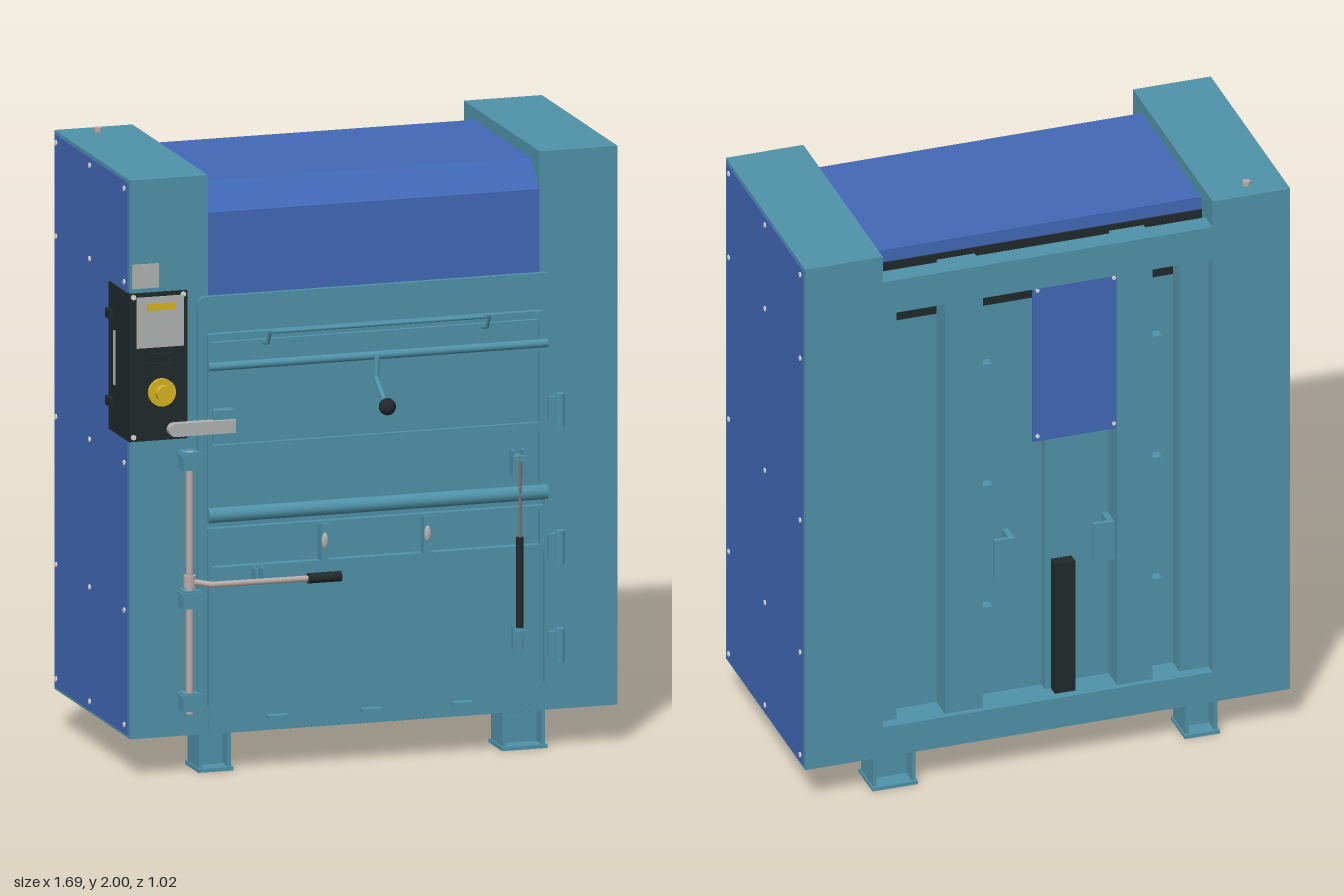
import * as THREE from 'three';

const paint = (name, color) => {
  const m = new THREE.MeshStandardMaterial({ color });
  m.name = name;
  return m;
};

export function createModel() {
  const root = new THREE.Group();
  root.name = 'balingPress';
  const teal = paint('teal', 0x4f92a8), blue = paint('blue', 0x4268b6), black = paint('black', 0x20292b);
  const grey = paint('grey', 0xb0b2b2), steel = paint('steel', 0xb9aaa6), yellow = paint('yellow', 0xd6b322);
  const white = paint('white', 0xdcdcdc), brown = paint('brown', 0x80706e);

  const add = (name, geo, mat) => {
    const m = new THREE.Mesh(geo, mat);
    m.name = name;
    root.add(m);
    return m;
  };
  // Box given by its limits on each axis
  const box = (name, mat, x0, x1, y0, y1, z0, z1) =>
    add(name, new THREE.BoxGeometry(x1 - x0, y1 - y0, z1 - z0)
      .translate((x0 + x1) / 2, (y0 + y1) / 2, (z0 + z1) / 2), mat);
  // Round bar between two points
  const rod = (name, mat, a, b, r, sides = 16) => {
    const p = new THREE.Vector3(...a), q = new THREE.Vector3(...b), d = q.clone().sub(p);
    const m = add(name, new THREE.CylinderGeometry(r, r, d.length(), sides), mat);
    m.position.copy(p).add(q).multiplyScalar(0.5);
    m.quaternion.setFromUnitVectors(new THREE.Vector3(0, 1, 0), d.normalize());
    return m;
  };
  const bentRod = (name, mat, pts, r) => {
    const path = new THREE.CurvePath();
    const v = pts.map(p => new THREE.Vector3(...p));
    for (let i = 1; i < v.length; i++) path.add(new THREE.LineCurve3(v[i - 1], v[i]));
    return add(name, new THREE.TubeGeometry(path, 40, r, 10), mat);
  };
  // Rectangular frame standing on the front
  const rim = (name, x0, x1, y0, y1, t, z0, z1) => {
    box(name, teal, x0, x1, y0, y0 + t, z0, z1);
    box(name, teal, x0, x1, y1 - t, y1, z0, z1);
    box(name, teal, x0, x0 + t, y0 + t, y1 - t, z0, z1);
    box(name, teal, x1 - t, x1, y0 + t, y1 - t, z0, z1);
  };

  // Side columns, blue side panels and their screws
  box('leftColumn', teal, 0.57, 0.836, 0.13, 1.985, -0.51, 0.28);
  box('rightColumn', teal, -0.826, -0.56, 0.13, 1.985, -0.51, 0.28);
  for (const [x, s] of [[0.836, 1], [-0.826, -1]]) {
    box('sidePanel', blue, Math.min(x, x + s * 0.004), Math.max(x, x + s * 0.004), 0.14, 1.975, -0.495, 0.262);
    for (const y of [0.17, 0.55, 1.04, 1.64, 1.95])
      for (const z of [0.235, -0.125, -0.475])
        rod('panelScrew', white, [x, y, z], [x + s * 0.008, y, z], 0.009, 10);
  }
  rod('topStud', steel, [-0.7, 1.98, -0.44], [-0.7, 2, -0.44], 0.013);

  // Press chamber and hood
  box('chamber', teal, -0.56, 0.57, 0.13, 1.6, -0.4, 0.275);
  const hood = new THREE.Shape([[-0.28, 1.585], [-0.28, 1.86], [-0.19, 1.945], [0.4, 1.945], [0.4, 1.585]]
    .map(p => new THREE.Vector2(...p)));
  add('hood', new THREE.ExtrudeGeometry(hood, { depth: 1.13, bevelEnabled: false })
    .rotateY(Math.PI / 2).translate(-0.56, 0, 0), blue);

  // Rear beams, posts and recessed panels
  box('rearTopBeam', teal, -0.56, 0.57, 1.77, 1.89, -0.51, -0.44);
  box('rearBottomBeam', teal, -0.56, 0.57, 0.13, 0.24, -0.51, -0.4);
  box('rearPlate', teal, -0.56, 0.57, 0.24, 1.68, -0.405, -0.395);
  box('rearShadowGap', black, -0.56, 0.57, 1.68, 1.9, -0.406, -0.398);
  for (const [a, b] of [[0.22, 0.35], [-0.36, -0.24]]) {
    box('rearPost', teal, a, b, 0.24, 1.88, -0.49, -0.4);
    for (const y of [0.55, 1.0, 1.45])
      box('postTie', teal, a - 0.05, a, y, y + 0.03, -0.44, -0.4);
  }
  box('rearEdgePost', teal, 0.51, 0.57, 0.24, 1.77, -0.47, -0.4);
  box('rearEdgePost', teal, -0.56, -0.46, 0.24, 1.77, -0.47, -0.4);
  box('rearCentrePost', teal, -0.11, -0.01, 0.24, 1.77, -0.44, -0.4);
  box('cableGuide', black, -0.1, -0.03, 0.2, 0.72, -0.48, -0.44);
  box('rearCover', blue, -0.245, 0.047, 1.19, 1.77, -0.485, -0.475);
  for (const x of [-0.23, 0.032]) for (const y of [1.21, 1.75])
    rod('coverScrew', white, [x, y, -0.484], [x, y, -0.489], 0.007, 8);
  for (const x of [0.14, -0.2]) {
    box('rearBracket', teal, x - 0.035, x + 0.035, 0.7, 0.84, -0.475, -0.46);
    box('rearBracketArm', teal, x - 0.035, x - 0.015, 0.7, 0.84, -0.46, -0.4);
  }

  // Underside plate and open channel feet
  box('underPlate', black, -0.5, 0.56, 0.124, 0.131, -0.08, 0.26);
  for (const [x0, x1] of [[-0.585, -0.475], [0.45, 0.595]])
    for (const z of [0.2, -0.425]) {
      box('footSole', teal, x0 - 0.005, x1 + 0.005, 0, 0.012, z - 0.07, z + 0.07);
      box('footSide', teal, x0, x0 + 0.012, 0.012, 0.13, z - 0.06, z + 0.06);
      box('footSide', teal, x1 - 0.012, x1, 0.012, 0.13, z - 0.06, z + 0.06);
      box('footWeb', teal, x0 + 0.012, x1 - 0.012, 0.012, 0.13, z - 0.008, z + 0.008);
    }

  // Door frame with rounded upper corners
  const frame = new THREE.Shape();
  frame.moveTo(-0.6, 0.2).lineTo(0.61, 0.2).lineTo(0.61, 1.555).quadraticCurveTo(0.61, 1.585, 0.58, 1.585)
    .lineTo(-0.57, 1.585).quadraticCurveTo(-0.6, 1.585, -0.6, 1.555).lineTo(-0.6, 0.2);
  frame.holes.push(new THREE.Path().moveTo(-0.57, 0.22).lineTo(-0.57, 1.465).lineTo(0.58, 1.465)
    .lineTo(0.58, 0.22).lineTo(-0.57, 0.22));
  add('doorFrame', new THREE.ExtrudeGeometry(frame, { depth: 0.02, bevelEnabled: false }).translate(0, 0, 0.278), teal);
  box('sill', teal, -0.56, 0.57, 0.13, 0.2, 0.27, 0.285);
  for (const x of [-0.33, -0.01, 0.3]) box('sillTab', teal, x - 0.033, x + 0.033, 0.17, 0.182, 0.28, 0.315);

  // Upper and lower doors
  box('upperDoor', teal, -0.565, 0.575, 0.83, 1.46, 0.275, 0.285);
  rim('upperDoorRim', -0.568, 0.578, 0.83, 1.46, 0.016, 0.28, 0.305);
  box('upperDoorRail', teal, -0.555, 0.565, 1.07, 1.09, 0.28, 0.302);
  box('upperDoorRail', teal, -0.555, 0.565, 1.33, 1.345, 0.28, 0.302);
  box('upperDoorRail', teal, -0.555, 0.565, 1.42, 1.432, 0.28, 0.302);
  box('lowerDoor', teal, -0.565, 0.575, 0.22, 0.685, 0.275, 0.302);
  rim('lowerDoorRim', -0.568, 0.578, 0.67, 0.815, 0.014, 0.28, 0.304);
  rod('upperRoller', teal, [-0.57, 1.355, 0.312], [0.585, 1.355, 0.312], 0.014);
  rod('lowerRoller', teal, [-0.57, 0.86, 0.305], [0.585, 0.86, 0.305], 0.025);
  bentRod('pullBar', teal, [[-0.375, 1.42, 0.29], [-0.375, 1.425, 0.335], [-0.375, 1.468, 0.36],
    [0.372, 1.468, 0.36], [0.372, 1.425, 0.335], [0.372, 1.42, 0.29]], 0.006);

  // Ball lever
  bentRod('ballLever', teal, [[0, 1.355, 0.33], [-0.005, 1.285, 0.335], [-0.015, 1.225, 0.47]], 0.009);
  add('leverBall', new THREE.SphereGeometry(0.028, 24, 16).translate(-0.016, 1.222, 0.485), black);

  // Catches in the band between the doors
  for (const x of [-0.175, 0.175]) {
    box('catchPlate', teal, x - 0.012, x + 0.012, 0.685, 0.81, 0.28, 0.32);
    add('catchPin', new THREE.SphereGeometry(0.02, 12, 8).scale(0.6, 1.4, 0.5).translate(x, 0.752, 0.319), grey);
  }

  // Hinges
  for (const y of [1.13, 0.675, 0.35]) {
    rod('hingePin', teal, [0.628, y - 0.055, 0.312], [0.628, y + 0.055, 0.312], 0.016);
    box('hingeLeaf', teal, 0.59, 0.625, y - 0.035, y + 0.045, 0.28, 0.315);
  }

  // Locking rod, its bearings and hand lever
  rod('lockRod', steel, [-0.635, 0.21, 0.317], [-0.635, 1.08, 0.317], 0.012);
  for (const y of [1.05, 0.59, 0.25]) {
    box('rodBearing', teal, -0.662, -0.608, y - 0.03, y + 0.03, 0.28, 0.335);
    box('rodBearingLip', teal, -0.67, -0.6, y + 0.015, y + 0.025, 0.28, 0.34);
  }
  add('leverHub', new THREE.CylinderGeometry(0.02, 0.02, 0.04, 16).translate(-0.635, 0.65, 0.317), steel);
  bentRod('handLever', steel, [[-0.635, 0.65, 0.32], [-0.57, 0.641, 0.35], [-0.24, 0.64, 0.355]], 0.01);
  rod('handGrip', black, [-0.245, 0.64, 0.355], [-0.132, 0.64, 0.355], 0.017);
  for (const x of [-0.415, -0.39]) box('leverRest', teal, x - 0.005, x + 0.005, 0.625, 0.68, 0.3, 0.345);

  // Gas strut
  rod('strutRod', brown, [0.488, 0.7, 0.325], [0.488, 0.99, 0.325], 0.005);
  rod('strutBody', black, [0.488, 0.42, 0.325], [0.488, 0.72, 0.325], 0.012);
  for (const y of [0.98, 0.4]) {
    box('strutMount', teal, 0.465, 0.512, y - 0.008, y + 0.008, 0.285, 0.33);
    for (const x of [0.47, 0.506]) box('strutMountEar', teal, x - 0.004, x + 0.004, y - 0.06, y + 0.025, 0.285, 0.318);
  }

  // Control panel on the front and side
  box('controlPanel', black, -0.834, -0.635, 1.12, 1.61, 0.08, 0.295);
  box('displayPlate', grey, -0.81, -0.65, 1.43, 1.598, 0.294, 0.302);
  box('displayStripe', yellow, -0.775, -0.68, 1.553, 1.577, 0.3, 0.304);
  for (const y of [1.365, 1.398]) box('pushButtons', black, -0.77, -0.69, y - 0.013, y + 0.013, 0.294, 0.31);
  rod('knobRing', yellow, [-0.725, 1.28, 0.294], [-0.725, 1.28, 0.31], 0.046, 24);
  rod('stopKnob', yellow, [-0.725, 1.28, 0.31], [-0.725, 1.28, 0.335], 0.026, 20);
  for (const x of [-0.82, -0.65]) for (const y of [1.135, 1.6])
    rod('controlScrew', white, [x, y, 0.294], [x, y, 0.3], 0.009, 8);
  box('sideSlot', grey, -0.838, -0.833, 1.28, 1.46, 0.14, 0.15);
  for (const y of [1.22, 1.51]) box('sideLatch', black, -0.85, -0.83, y - 0.015, y + 0.015, 0.09, 0.14);
  box('tag', grey, -0.82, -0.73, 1.625, 1.705, 0.279, 0.285);

  // Safety switch with its actuator
  box('switchBracket', teal, -0.555, -0.485, 1.105, 1.21, 0.28, 0.325);
  box('switchArm', grey, -0.69, -0.485, 1.137, 1.18, 0.31, 0.34);
  rod('switchArmEnd', grey, [-0.69, 1.1585, 0.31], [-0.69, 1.1585, 0.34], 0.0215, 20);

  return root;
}
